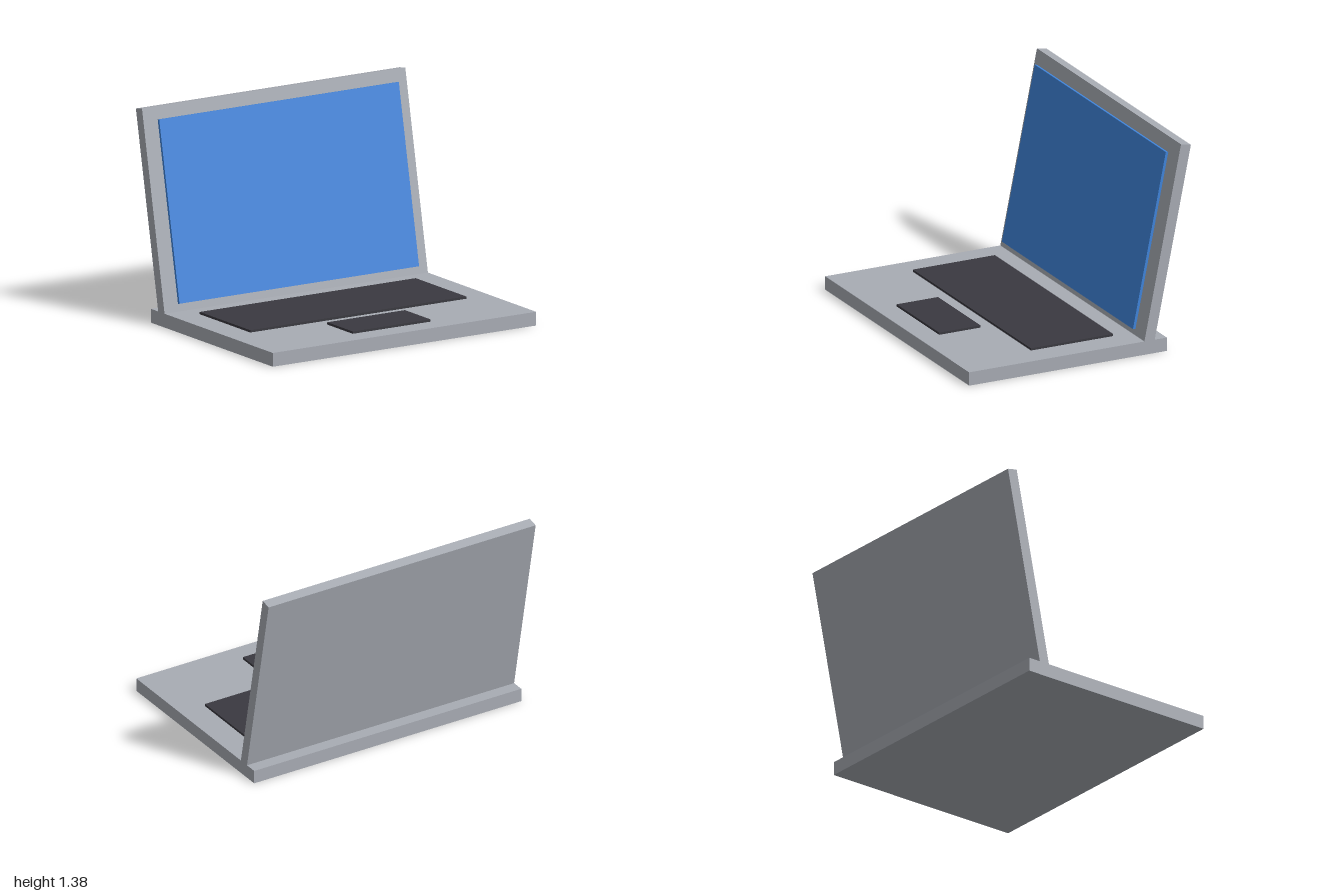
import * as THREE from 'three';

const mat = (name, color) => {
  const m = new THREE.MeshStandardMaterial({ color });
  m.name = name;
  return m;
};

export function createModel() {
  const casing = mat('casing grey', 0xa8acb4);
  const display = mat('display blue', 0x4085dc);
  const keys = mat('key charcoal', 0x3a3940);

  const model = new THREE.Group();
  model.name = 'laptop';

  const addBox = (name, material, size, position, tilt = 0) => {
    const mesh = new THREE.Mesh(new THREE.BoxGeometry(...size), material);
    mesh.name = name;
    mesh.position.set(...position);
    mesh.rotation.x = tilt;
    model.add(mesh);
  };

  // Lower body with keyboard and touchpad slabs
  addBox('base', casing, [2, 0.09, 1.41], [0, 0.045, 0.086]);
  addBox('keyboard', keys, [1.64, 0.018, 0.585], [0, 0.096, -0.035]);
  addBox('touchpad', keys, [0.59, 0.018, 0.295], [0, 0.096, 0.495]);

  // Lid leaning back, with the display panel floating just in front
  const tilt = -0.2;
  addBox('lid', casing, [2, 1.318, 0.072], [0, 0.725, -0.625], tilt);
  addBox('screen', display, [1.82, 1.18, 0.018], [0, 0.727, -0.55], tilt);

  return model;
}
